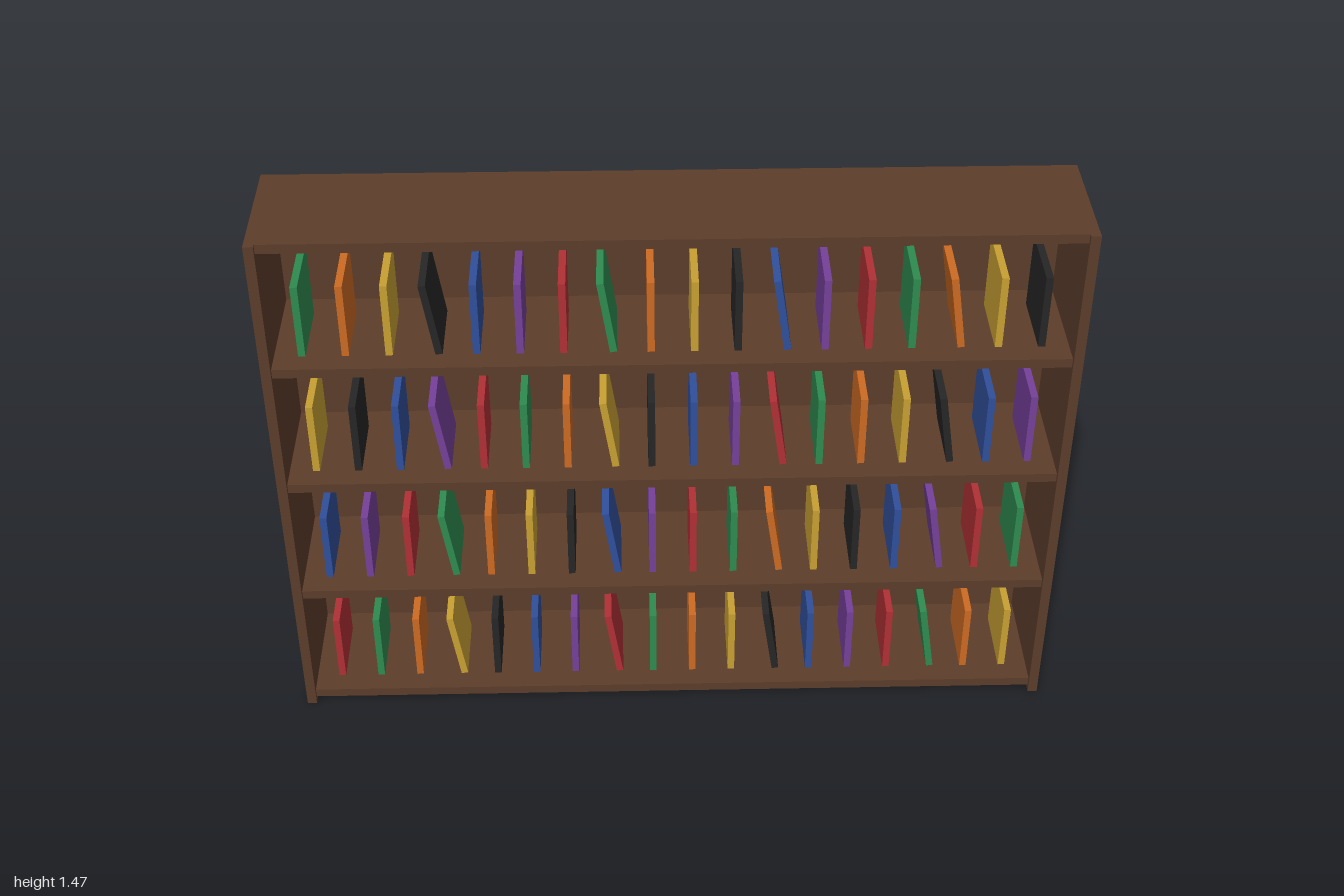
import * as THREE from 'three';

const WIDTH = 2, HEIGHT = 1.465, DEPTH = 0.332, BOARD = 0.025, BACK = 0.013;
const ROWS = 4, BOOKS = 18;
const INNER = WIDTH - 2 * BOARD;

export function createModel() {
  const model = new THREE.Group();
  model.name = 'bookcase';
  const paint = (color) => new THREE.MeshStandardMaterial({ color });
  const wood = paint(0x5c3d2a);
  // red, green, orange, yellow, black, blue, purple
  const covers = [0xb03035, 0x2e8b50, 0xcc6a22, 0xc8a032, 0x262626, 0x30509c, 0x75409a].map(paint);

  const box = (name, w, h, d, x, y, z, material, parent = model) => {
    const mesh = new THREE.Mesh(new THREE.BoxGeometry(w, h, d), material);
    mesh.name = name;
    mesh.position.set(x, y, z);
    parent.add(mesh);
    return mesh;
  };

  // Case: two sides standing slightly proud of the shelves, and a back
  for (const s of [1, -1]) {
    box(s > 0 ? 'leftSide' : 'rightSide', BOARD, HEIGHT, DEPTH, s * (WIDTH - BOARD) / 2, HEIGHT / 2, 0, wood);
  }
  box('backPanel', INNER, HEIGHT, BACK, 0, HEIGHT / 2, (BACK - DEPTH) / 2, wood);

  // Bottom, shelves and top, evenly spaced
  const shelfBack = -DEPTH / 2 + BACK, shelfFront = DEPTH / 2 - 0.01;
  const firstY = 0.028, lastY = HEIGHT - BOARD / 2;
  const shelfY = (row) => firstY + (lastY - firstY) * row / ROWS;
  for (let row = 0; row <= ROWS; row++) {
    const name = row === 0 ? 'bottomShelf' : row === ROWS ? 'topPanel' : 'shelf';
    box(name, INNER, BOARD, shelfFront - shelfBack, 0, shelfY(row), (shelfFront + shelfBack) / 2, wood);
  }

  // Books: every fourth one leans, and each row starts further along the colours
  for (let row = 0; row < ROWS; row++) {
    const books = new THREE.Group();
    books.name = 'bookRow';
    model.add(books);
    for (let i = 0; i < BOOKS; i++) {
      const x = -0.907 + 1.814 * i / (BOOKS - 1);
      const y = shelfY(row) + BOARD / 2 + 0.1;
      const book = box('book', 0.018, 0.2, 0.19, x, y, 0.005, covers[(i + row * 5) % covers.length], books);
      if (i % 4 === 3) book.rotation.z = 0.15;
    }
  }
  return model;
}
